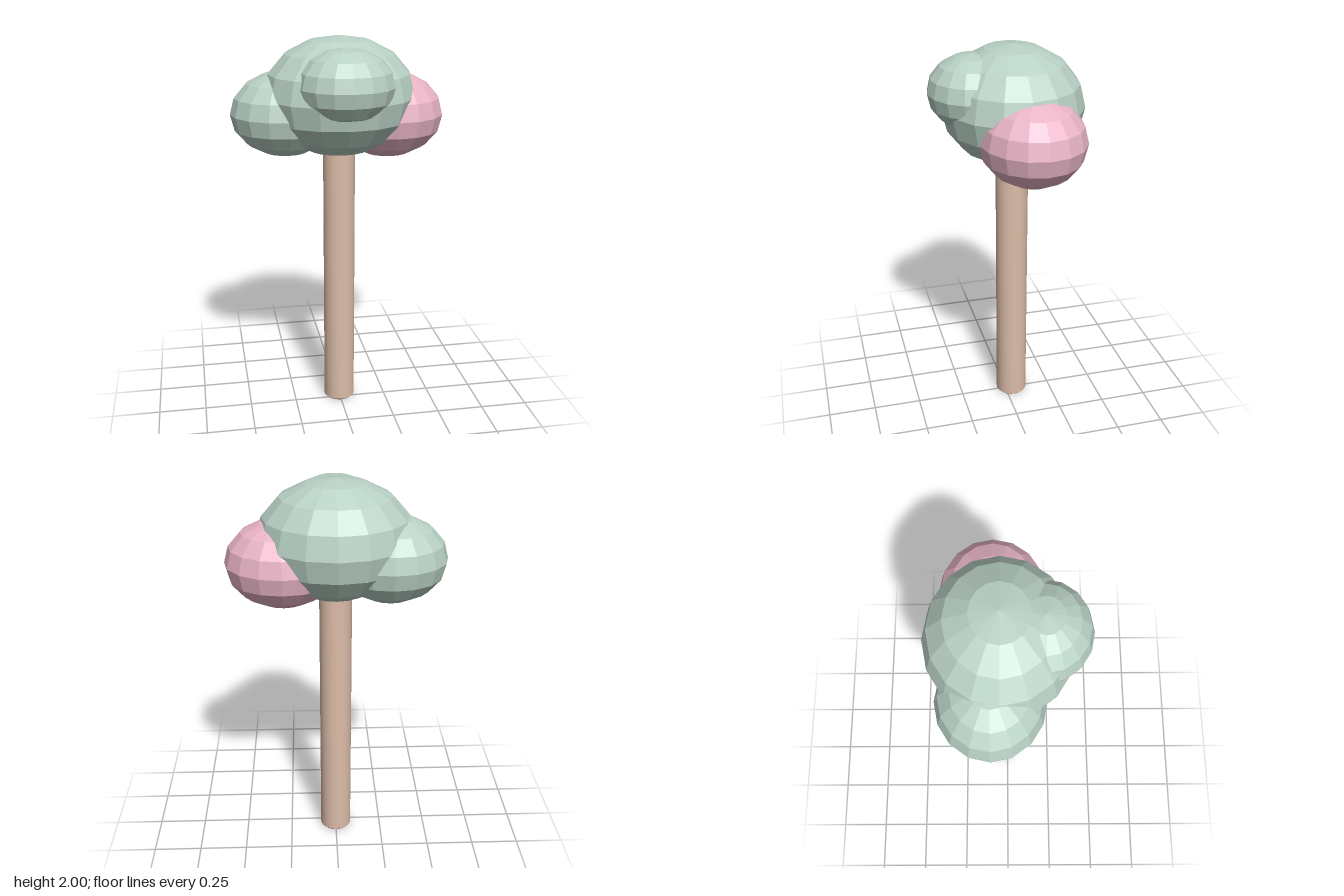
import * as THREE from 'three';
import { toCreasedNormals } from 'three/addons/utils/BufferGeometryUtils.js';

export function createModel() {
  const model = new THREE.Group();
  model.name = 'tree';
  const leaf = new THREE.MeshStandardMaterial({ color: 0xb9d1c5, flatShading: true });
  const blossom = new THREE.MeshStandardMaterial({ color: 0xe8b4c6, flatShading: true });
  const bark = new THREE.MeshStandardMaterial({ color: 0xdcbca8 });

  // Trunk: smooth round post with narrow bevels at both ends
  const r = 0.083, h = 1.42, bevel = 0.01;
  const profile = [[0, 0], [r - bevel, 0], [r, bevel], [r, h - bevel], [r - bevel, h], [0, h]]
    .map(([x, y]) => new THREE.Vector2(x, y));
  const trunk = new THREE.Mesh(toCreasedNormals(new THREE.LatheGeometry(profile, 20), 0.6), bark);
  trunk.name = 'trunk';
  trunk.position.z = -0.035;
  model.add(trunk);

  // Crown: faceted, flattened spheres, all of the same proportions
  const sphere = new THREE.SphereGeometry(1, 16, 8);
  const addClump = (name, material, size, x, y, z) => {
    const clump = new THREE.Mesh(sphere, material);
    clump.name = name;
    clump.scale.set(0.39, 0.3, 0.355).multiplyScalar(size);
    clump.position.set(x, y, z);
    model.add(clump);
  };
  addClump('mainCrown', leaf, 1, 0, 1.7, -0.035);
  addClump('frontClump', leaf, 0.62, 0, 1.778, 0.165);
  addClump('rightClump', leaf, 0.72, -0.267, 1.612, -0.078);
  addClump('leftBlossomClump', blossom, 0.735, 0.258, 1.595, -0.068);

  return model;
}
